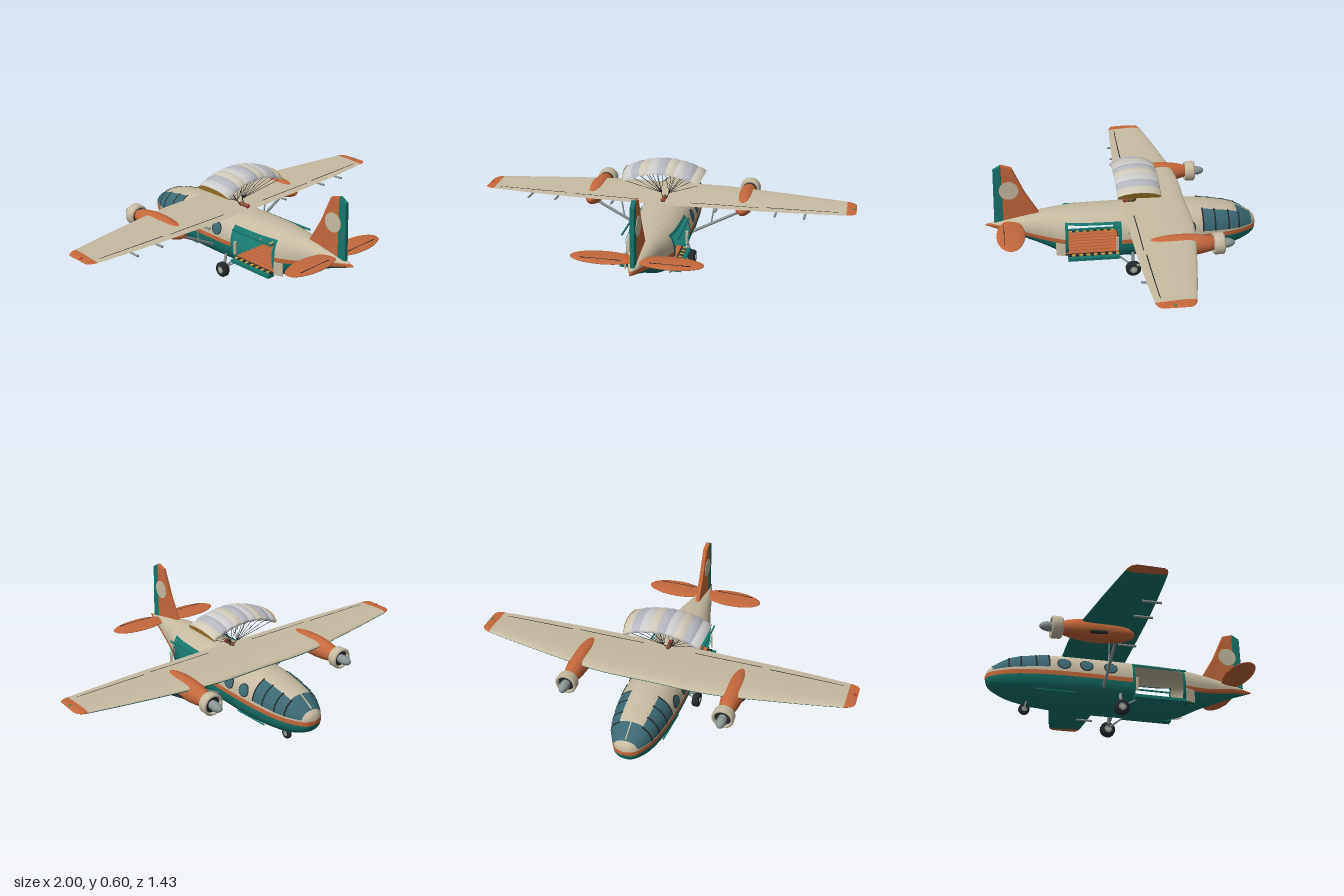
import * as THREE from 'three';

const CREAM = 0xc6bba2, TEAL = 0x17756c, ORANGE = 0xc4683c, GLASS = 0x3c6873, DARK = 0x24282a,
  GREY = 0x8b9694, YELLOW = 0xc79a3c;
const mats = {};
const mat = (color) => (mats[color] ??= new THREE.MeshStandardMaterial({ color, side: THREE.DoubleSide }));

export function createModel() {
  const model = new THREE.Group();
  const add = (name, geo, color, parent = model, pos = [0, 0, 0]) => {
    const m = new THREE.Mesh(geo, mat(color));
    m.name = name;
    m.position.set(...pos);
    parent.add(m);
    return m;
  };
  const box = (name, size, pos, color, parent) => add(name, new THREE.BoxGeometry(...size), color, parent, pos);
  const rod = (name, a, b, r, color, parent) => {
    const A = new THREE.Vector3(...a), B = new THREE.Vector3(...b), d = B.clone().sub(A);
    const m = add(name, new THREE.CylinderGeometry(r, r, d.length(), r > 0.003 ? 12 : 4), color, parent,
      A.add(B).multiplyScalar(0.5).toArray());
    m.quaternion.setFromUnitVectors(new THREE.Vector3(0, 1, 0), d.normalize());
    return m;
  };
  // Surface patch from a rule f(u, v) -> [x, y, z]
  const grid = (nu, nv, f) => {
    const p = [], idx = [];
    for (let i = 0; i <= nu; i++) for (let j = 0; j <= nv; j++) {
      p.push(...f(i / nu, j / nv));
      const a = i * (nv + 1) + j, b = a + nv + 1;
      if (i < nu && j < nv) idx.push(a, b, a + 1, a + 1, b, b + 1);
    }
    const g = new THREE.BufferGeometry();
    g.setAttribute('position', new THREE.Float32BufferAttribute(p, 3));
    g.setIndex(idx);
    g.computeVertexNormals();
    return g;
  };
  // Smooth interpolation of rows [key, ...values]
  const table = (rows, k) => {
    let i = 0;
    while (i < rows.length - 2 && k > rows[i + 1][0]) i++;
    const h = rows[i + 1][0] - rows[i][0], t = Math.min(1, Math.max(0, (k - rows[i][0]) / h));
    const slope = (j, c) => {
      const a = rows[Math.max(0, j - 1)], b = rows[Math.min(rows.length - 1, j + 1)];
      return (b[c] - a[c]) / (b[0] - a[0]);
    };
    return rows[i].slice(1).map((p, n) => {
      const q = rows[i + 1][n + 1], t2 = t * t, t3 = t2 * t;
      return p * (2 * t3 - 3 * t2 + 1) + q * (3 * t2 - 2 * t3)
        + h * (slope(i, n + 1) * (t3 - 2 * t2 + t) + slope(i + 1, n + 1) * (t3 - t2));
    });
  };

  // Fuselage sections: z, bottom, top, half width
  const body = [[-0.717, 0.195, 0.2, 0.003], [-0.705, 0.16, 0.235, 0.04], [-0.68, 0.136, 0.255, 0.066],
    [-0.6, 0.102, 0.302, 0.107], [-0.5, 0.083, 0.324, 0.13], [-0.4, 0.072, 0.337, 0.142],
    [-0.28, 0.066, 0.34, 0.148], [0, 0.066, 0.342, 0.15], [0.2, 0.074, 0.342, 0.143],
    [0.3, 0.088, 0.34, 0.124], [0.43, 0.15, 0.328, 0.083], [0.6, 0.222, 0.297, 0.038], [0.717, 0.262, 0.27, 0.003]];
  const line = [[-0.717, 0.197], [-0.4, 0.2], [0, 0.2], [0.3, 0.203], [0.45, 0.218], [0.6, 0.25], [0.717, 0.267]];
  const lineLo = (z) => table(line, z)[0] - 0.012, lineHi = (z) => table(line, z)[0] + 0.012;
  const bottom = () => 0, top = () => 1;
  // Patch of fuselage skin between two heights, on both sides
  const skin = (name, z0, z1, lo, hi, color, off = 0, nz = 20, ny = 14) => {
    const N = 2.3;
    const g = grid(nz, ny, (u, v) => {
      const z = z0 + (z1 - z0) * u, [b, t, w] = table(body, z);
      const yc = (b + t) / 2, h = Math.max(0.001, (t - b) / 2);
      const ang = (y) => {
        const s = Math.max(-1, Math.min(1, (y - yc) / h));
        return Math.asin(Math.sign(s) * Math.abs(s) ** (N / 2));
      };
      const a = THREE.MathUtils.lerp(ang(lo(z)), ang(hi(z)), v), s = Math.sin(a);
      return [(w + off) * Math.max(0, Math.cos(a)) ** (2 / N),
        yc + (h + off) * Math.sign(s) * Math.abs(s) ** (2 / N), z];
    });
    for (const s of [1, -1]) add(name, g, color).scale.x = s;
  };
  for (const [a, b] of [[-0.717, -0.66], [-0.66, 0.03], [0.3, 0.717]]) {
    skin('lowerFuselage', a, b, bottom, lineLo, TEAL);
    skin('cheatLine', a, b, lineLo, lineHi, ORANGE, 0, 20, 3);
    skin('upperFuselage', a, b, lineHi, top, CREAM);
  }
  // Cargo bay: open doorway on each side
  skin('bayBelly', 0.03, 0.3, bottom, () => 0.125, TEAL);
  skin('bayRoof', 0.03, 0.3, () => 0.295, top, CREAM);
  for (const [a, b, lo, hi] of [[0.02, 0.035, 0.117, 0.302], [0.295, 0.31, 0.117, 0.302],
    [0.02, 0.31, 0.112, 0.128], [0.02, 0.31, 0.291, 0.302]])
    skin('doorFrame', a, b, () => lo, () => hi, TEAL, 0.005);
  box('bayFloor', [0.23, 0.006, 0.3], [0, 0.12, 0.165], DARK);
  for (let i = 0; i < 7; i++) box('floorPlank', [0.026, 0.006, 0.29], [(i - 3) * 0.032, 0.124, 0.165], ORANGE);

  // Cabin windows and cockpit glazing
  for (const c of [-0.095, -0.22, -0.335]) for (const [r, col, off] of [[0.036, DARK, 0.002], [0.031, GLASS, 0.004]]) {
    const e = (z) => r * 0.9 * Math.sqrt(Math.max(0, 1 - ((z - c) / r) ** 2));
    skin('cabinWindow', c - r, c + r, (z) => 0.255 - e(z), (z) => 0.255 + e(z), col, off, 20, 6);
  }
  const sill = (z) => 0.23 + (z + 0.41) * 0.05;
  skin('sideGlass', -0.6, -0.41, sill, (z) => table(body, z)[1] - 0.012, GLASS, 0.003);
  skin('windshield', -0.685, -0.6, sill, top, GLASS, 0.003);
  for (const z of [-0.41, -0.475, -0.55, -0.608])
    skin('windowFrame', z - 0.004, z + 0.004, sill, (q) => table(body, q)[1] - 0.01, DARK, 0.005, 2, 8);
  box('windshieldPost', [0.006, 0.006, 0.095], [0, 0.284, -0.642], CREAM).rotation.x = -0.5;

  // Wing stations: x, leading z, trailing z, mid height, half thickness
  const wing = [[0, -0.33, 0.005, 0.344, 0.017], [0.29, -0.33, 0, 0.345, 0.017], [0.6, -0.285, -0.008, 0.347, 0.014],
    [0.95, -0.22, -0.03, 0.35, 0.01], [0.985, -0.205, -0.04, 0.351, 0.007], [1, -0.185, -0.055, 0.351, 0.001]];
  const wingPatch = (x0, x1, side, u0 = 0, u1 = 1, off = 0) => grid(20, 16, (a, v) => {
    const x = x0 + (x1 - x0) * a, [le, te, y, t] = table(wing, x);
    const u = u0 + (u1 - u0) * v * (u0 ? 1 : v);
    return [x, y + side * (off + t * 2.6 * (Math.sqrt(u) - u) * (1.5 - 0.5 * u)), le + (te - le) * u];
  });
  // Fin outline in (z, y)
  const plate = (pts, depth) => {
    const g = new THREE.ExtrudeGeometry(new THREE.Shape(pts.map((p) => new THREE.Vector2(...p))),
      { depth, bevelThickness: 0.004, bevelSize: 0.003, bevelSegments: 2 });
    return g.translate(0, 0, -depth / 2).rotateY(-Math.PI / 2);
  };
  add('fin', plate([[0.437, 0.318], [0.51, 0.445], [0.57, 0.585], [0.62, 0.6], [0.62, 0.28], [0.47, 0.3]], 0.014), ORANGE);
  add('rudder', plate([[0.624, 0.6], [0.66, 0.578], [0.668, 0.285], [0.624, 0.28]], 0.014), TEAL);

  // Wheel with hub, axle along x
  const wheel = (name, r, w, pos, parent) => {
    const prof = [[0.5, -0.5], [0.85, -0.5], [1, -0.28], [1, 0.28], [0.85, 0.5], [0.5, 0.5]]
      .map(([a, b]) => new THREE.Vector2(a * r, b * w));
    add(name + 'Tyre', new THREE.LatheGeometry(prof, 28), DARK, parent, pos).rotation.z = Math.PI / 2;
    add(name + 'Hub', new THREE.CylinderGeometry(r * 0.5, r * 0.5, w * 0.9, 20), GREY, parent, pos).rotation.z = Math.PI / 2;
    add(name + 'Cap', new THREE.CylinderGeometry(r * 0.25, r * 0.25, w * 1.1, 12), CREAM, parent, pos).rotation.z = Math.PI / 2;
  };

  for (const s of [1, -1]) {
    const half = new THREE.Group();
    half.name = s > 0 ? 'leftHalf' : 'rightHalf';
    half.scale.x = s;
    model.add(half);
    // Wing
    add('wingTop', wingPatch(0, 0.95, 1), CREAM, half);
    add('wingUnderside', wingPatch(0, 0.95, -1), TEAL, half);
    for (const side of [1, -1]) add('wingTip', wingPatch(0.95, 1, side), ORANGE, half);
    add('flapGap', wingPatch(0.14, 0.5, 1, 0.86, 0.875, 0.001), DARK, half);
    add('aileronGap', wingPatch(0.54, 0.92, 1, 0.83, 0.85, 0.001), DARK, half);
    for (const x of [0.28, 0.59, 0.74]) rod('flapTrack', [x, 0.325, -0.09], [x, 0.326, 0.002], 0.006, GREY, half);
    add('tipLight', new THREE.SphereGeometry(0.008, 10, 8), s > 0 ? 0x3d8a4a : 0xb03030, half, [0.985, 0.353, -0.115]);
    rod('wingStrut', [0.13, 0.145, -0.13], [0.39, 0.285, -0.13], 0.008, GREY, half);
    rod('jetStrut', [0.24, 0.206, -0.13], [0.26, 0.34, -0.13], 0.004, GREY, half);
    // Engine
    add('nacelle', new THREE.SphereGeometry(1, 32, 24), ORANGE, half, [0.41, 0.315, -0.24]).scale.set(0.054, 0.056, 0.2);
    const ring = [[0.04, -0.025], [0.048, -0.028], [0.054, -0.02], [0.056, 0.02], [0.05, 0.028], [0.042, 0.024], [0.04, -0.025]];
    add('cowlRing', new THREE.LatheGeometry(ring.map((p) => new THREE.Vector2(...p)), 32), CREAM, half, [0.41, 0.313, -0.428])
      .rotation.x = -Math.PI / 2;
    add('engineFace', new THREE.CylinderGeometry(0.041, 0.041, 0.03, 24), DARK, half, [0.41, 0.313, -0.425]).rotation.x = Math.PI / 2;
    const spin = [[0.022, 0], [0.024, 0.02], [0.024, 0.04], [0.018, 0.06], [0.009, 0.071], [0, 0.074]];
    add('spinner', new THREE.LatheGeometry(spin.map((p) => new THREE.Vector2(...p)), 24), GREY, half, [0.41, 0.313, -0.438])
      .rotation.x = -Math.PI / 2;
    rod('exhaust', [0.45, 0.29, -0.27], [0.472, 0.284, -0.19], 0.009, DARK, half);
    // Tailplane and fin roundel
    add('tailplane', new THREE.SphereGeometry(1, 32, 16), ORANGE, half, [0.163, 0.285, 0.588]).scale.set(0.163, 0.011, 0.073);
    box('elevatorGap', [0.2, 0.003, 0.003], [0.17, 0.294, 0.622], DARK, half);
    add('roundel', new THREE.CylinderGeometry(0.05, 0.05, 0.003, 32), CREAM, half, [0.012, 0.462, 0.588]).rotation.z = Math.PI / 2;
    // Main gear
    wheel('main', 0.04, 0.036, [0.155, 0.04, -0.04], half);
    rod('mainLeg', [0.15, 0.04, -0.04], [0.128, 0.125, -0.04], 0.008, GREY, half);
    rod('mainBrace', [0.14, 0.045, -0.04], [0.115, 0.105, 0.04], 0.005, GREY, half);
    rod('sideBrace', [0.14, 0.05, -0.04], [0.06, 0.078, -0.04], 0.005, GREY, half);
    // Door sill with hazard stripes, step rail and rear deflector
    box('doorSill', [0.045, 0.016, 0.27], [0.137, 0.114, 0.165], TEAL, half);
    for (let i = 0; i < 14; i++)
      box('hazardStripe', [0.018, 0.004, 0.019], [0.128, 0.124, 0.04 + i * 0.0192], i % 2 ? DARK : YELLOW, half);
    box('doorRail', [0.006, 0.008, 0.28], [0.143, 0.285, 0.165], TEAL, half);
    box('doorHandle', [0.012, 0.07, 0.014], [0.14, 0.187, 0.042], CREAM, half);
    const flap = box('windDeflector', [0.006, 0.07, 0.05], [0.122, 0.16, 0.335], CREAM, half);
    flap.rotation.y = -0.35;
    rod('sideRail', [0.125, 0.11, -0.27], [0.115, 0.113, -0.47], 0.004, TEAL, half);
  }
  // Nose gear
  wheel('nose', 0.028, 0.022, [0, 0.045, -0.51]);
  for (const x of [0.015, -0.015]) rod('noseFork', [x, 0.043, -0.51], [x, 0.095, -0.5], 0.004, GREY);

  // Parafoil canopy: arched row of cells with profile [z, inset]
  const foil = [[0.048, -0.046], [0.045, -0.03], [0.02, -0.013], [-0.03, -0.002], [-0.08, 0], [-0.13, -0.009],
    [-0.168, -0.028], [-0.174, -0.038], [-0.165, -0.048], [-0.06, -0.045], [0.048, -0.046]];
  const R = 0.45, HALF = 0.5, CELLS = 9;
  const arch = (a, z, inset) => [(R + inset) * Math.sin(a), 0.569 - R + (R + inset) * Math.cos(a), z];
  const angle = (i) => -HALF + (2 * HALF * i) / CELLS;
  for (let i = 0; i < CELLS; i++) {
    const g = grid(8, foil.length - 1, (u, v) => {
      const [z, d] = foil[Math.round(v * (foil.length - 1))];
      return arch(angle(i + u), z, d + 0.004 * (Math.sin(Math.PI * u) - 1) * (d > -0.04 ? 1 : -1));
    });
    add('canopyCell', g, [0xd6d6da, 0xb4b6be, 0xcfc8b8][i % 3]);
  }
  for (const a of [-HALF, HALF]) add('canopyEnd', grid(foil.length - 1, 1, (u, v) => {
    const [z, d] = foil[Math.round(u * (foil.length - 1))];
    return arch(a, v ? z : -0.06, v ? d : -0.025);
  }), YELLOW);
  for (let i = 0; i <= CELLS; i++) for (const z of [0.03, -0.14])
    rod('suspensionLine', arch(angle(i), z, -0.045), [i < CELLS / 2 ? -0.02 : 0.02, 0.385, -0.07], 0.0012, DARK);
  // Small jumper riding below the canopy
  for (const x of [0.02, -0.02]) rod('riser', [x, 0.385, -0.07], [x * 0.5, 0.36, -0.05], 0.0025, DARK);
  add('jumperBody', new THREE.CapsuleGeometry(0.011, 0.03, 6, 12), 0x7a5236, model, [0, 0.366, -0.045]).rotation.x = Math.PI / 2;
  add('jumperHelmet', new THREE.SphereGeometry(0.013, 16, 12), 0xa8443a, model, [0, 0.366, -0.012]);
  return model;
}
